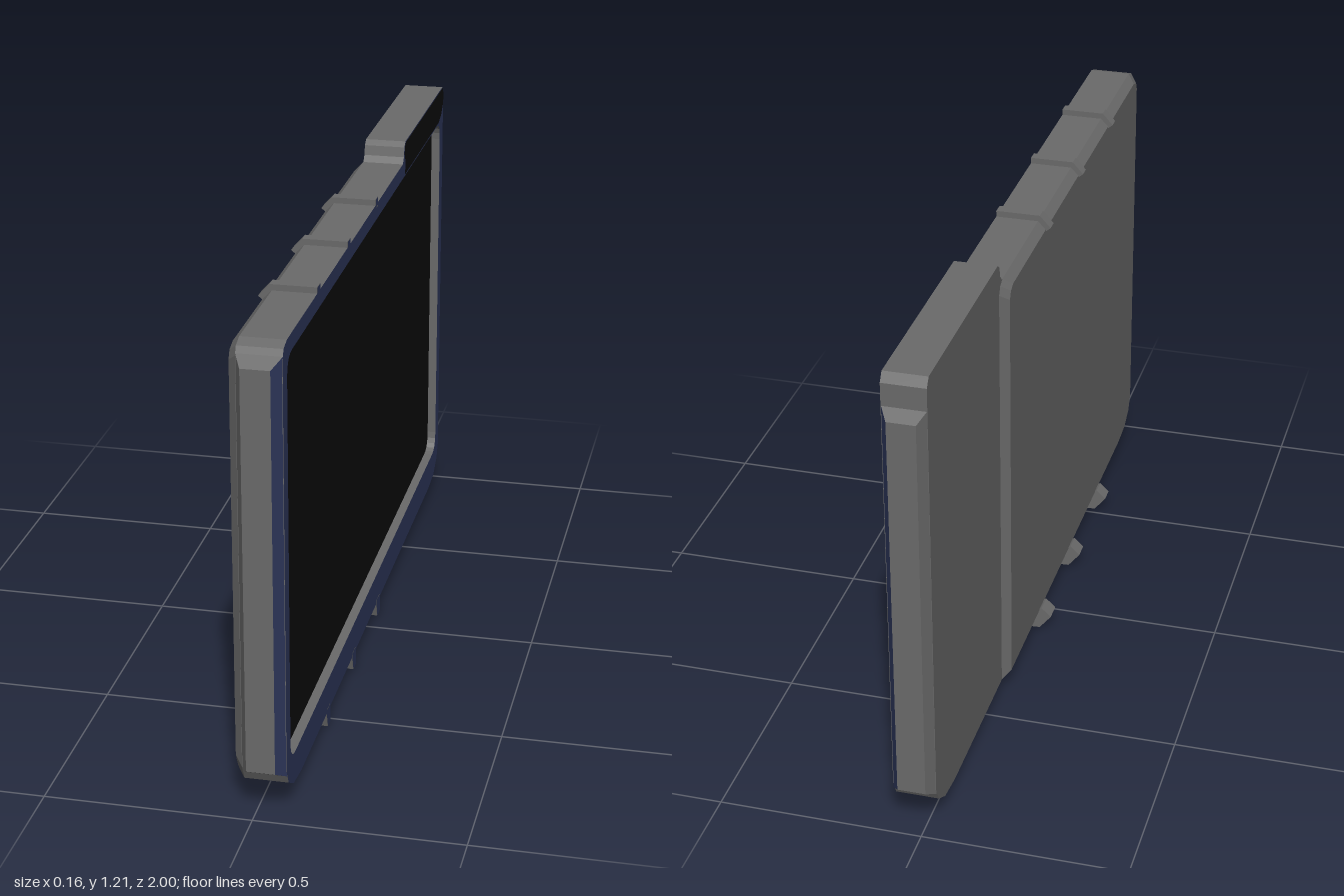
import * as THREE from 'three';

const material = (name, color) => {
  const m = new THREE.MeshStandardMaterial({ color });
  m.name = name;
  return m;
};

// Outlines are drawn as (u, y) with u = -z, then turned so they extrude along +x.
const outline = (pts) => new THREE.Shape(pts.map(([u, y]) => new THREE.Vector2(u, y)));

function slab(shape, x0, x1) {
  const g = new THREE.ExtrudeGeometry(shape, { depth: x1 - x0, bevelEnabled: false, curveSegments: 5 });
  return g.rotateY(Math.PI / 2).translate(x0, 0, 0);
}

function face(shape, x) {
  return new THREE.ShapeGeometry(shape, 5).rotateY(Math.PI / 2).translate(x, 0, 0);
}

function roundedRect(u0, u1, y0, y1, r) {
  const s = new THREE.Shape();
  s.moveTo(u0 + r, y0).lineTo(u1 - r, y0).quadraticCurveTo(u1, y0, u1, y0 + r);
  s.lineTo(u1, y1 - r).quadraticCurveTo(u1, y1, u1 - r, y1);
  s.lineTo(u0 + r, y1).quadraticCurveTo(u0, y1, u0, y1 - r);
  s.lineTo(u0, y0 + r).quadraticCurveTo(u0, y0, u0 + r, y0);
  return s;
}

// Moves every vertex by a rule and refreshes the flat normals.
function reshape(g, rule) {
  const p = g.attributes.position;
  const v = new THREE.Vector3();
  for (let i = 0; i < p.count; i++) {
    rule(v.fromBufferAttribute(p, i));
    p.setXYZ(i, v.x, v.y, v.z);
  }
  g.computeVertexNormals();
  return g;
}

export function createModel() {
  const grey = material('casing grey', 0x6a6a6a);
  const blue = material('bezel blue', 0x2f385e);
  const black = material('screen black', 0x0d0d0d);

  const group = new THREE.Group();
  group.name = 'displayPanel';
  const add = (name, geometry, mat) => {
    const m = new THREE.Mesh(geometry, mat);
    m.name = name;
    group.add(m);
  };

  const FRONT = 0.075, SCREEN = 0.052, BACK = -0.03, REAR = -0.05;

  // Casing: solid back part, then a rim with blue face and grey walls
  const body = [
    [-0.97, 0.12], [-0.95, 0.08], [-0.9, 0.05], [-0.82, 0.04],
    [0.82, 0.04], [0.9, 0.05], [0.95, 0.08], [0.97, 0.12],
    [0.97, 1.19], [0.955, 1.212], [0.41, 1.212], [0.395, 1.2],
    [0.39, 1.175], [0.375, 1.16], [-0.93, 1.16], [-0.96, 1.15], [-0.97, 1.13],
  ];
  add('casing', slab(outline(body), BACK, SCREEN - 0.002), grey);
  const opening = roundedRect(-0.93, 0.925, 0.125, 1.12, 0.05);
  const rim = outline(body);
  rim.holes.push(opening);
  add('bezel', slab(rim, SCREEN - 0.002, FRONT), [blue, grey]);
  add('screen', face(opening, SCREEN), black);

  // Black panel on the raised corner
  const panel = outline([
    [0.4, 1.125], [0.9, 1.125], [0.94, 1.14], [0.965, 1.165], [0.97, 1.19],
    [0.955, 1.21], [0.41, 1.21], [0.395, 1.2], [0.395, 1.18], [0.41, 1.155],
  ]);
  add('cornerPanel', face(panel, FRONT + 0.001), black);

  // Raised rear cover with sloping edges
  const cover = outline([
    [-0.97, 0.12], [-0.95, 0.08], [-0.9, 0.05], [-0.82, 0.04], [0.4, 0.04],
    [0.4, 1.13], [0.39, 1.15], [0.37, 1.16], [-0.93, 1.16], [-0.96, 1.15], [-0.97, 1.13],
  ]);
  const cz = 0.285, cy = 0.6;
  add('rearCover', reshape(slab(cover, REAR, BACK), (v) => {
    if (v.x > REAR + 0.005) return;
    v.z = cz + (v.z - cz) * (1 - 0.022 / 0.685);
    v.y = cy + (v.y - cy) * (1 - 0.02 / 0.56);
  }), grey);

  // Tapered grip bar on each end, blue on the slope towards the screen
  for (const side of [1, -1]) {
    const bar = new THREE.BoxGeometry(1, 1, 1);
    reshape(bar, (v) => {
      const outer = v.z * side > 0;
      v.x = v.x > 0 ? (outer ? 0.055 : FRONT) : (outer ? -0.013 : BACK);
      v.y = v.y > 0 ? (outer ? 1.113 : 1.135) : (outer ? 0.127 : 0.107);
      v.z = side * (outer ? 1 : 0.968);
    });
    add(side > 0 ? 'frontEndBar' : 'rearEndBar', bar, [blue, grey, grey, grey, grey, grey]);
  }

  // Clips: side profiles in (x, y), extruded along z
  const clip = (profile, z0, z1) =>
    new THREE.ExtrudeGeometry(outline(profile), { depth: z1 - z0, bevelEnabled: false }).translate(0, 0, z0);

  // Top clips fold over the edge of the rear cover
  const topProfile = [
    [FRONT, 1.15], [FRONT, 1.175], [-0.035, 1.175], [-0.062, 1.145], [-0.05, 1.135], [-0.03, 1.15],
  ];
  for (const z of [0.62, 0.295, -0.033]) {
    add('topClip', clip(topProfile, z - 0.015, z + 0.015), grey);
    add('topClipFace', face(outline([
      [-z - 0.015, 1.155], [-z + 0.015, 1.155], [-z + 0.015, 1.175], [-z - 0.015, 1.175],
    ]), FRONT + 0.001), blue);
  }

  // Bottom feet narrow downwards on one side and hook behind the cover
  const footProfile = [
    [FRONT, 0.05], [-0.03, 0.05], [-0.055, 0.066], [-0.08, 0.042], [-0.05, 0.005], [FRONT, 0],
  ];
  for (const [z0, z1] of [[0.512, 0.555], [0.21, 0.255], [-0.1, -0.052]]) {
    const mid = (z0 + z1) / 2;
    add('foot', reshape(clip(footProfile, z0, z1), (v) => {
      if (v.y < 0.02 && v.z > mid) v.z -= 0.015;
    }), grey);
    add('footFace', face(outline([
      [-z1, 0.05], [-z1 + 0.015, 0], [-z0, 0], [-z0, 0.05],
    ]), FRONT + 0.001), blue);
  }

  return group;
}
